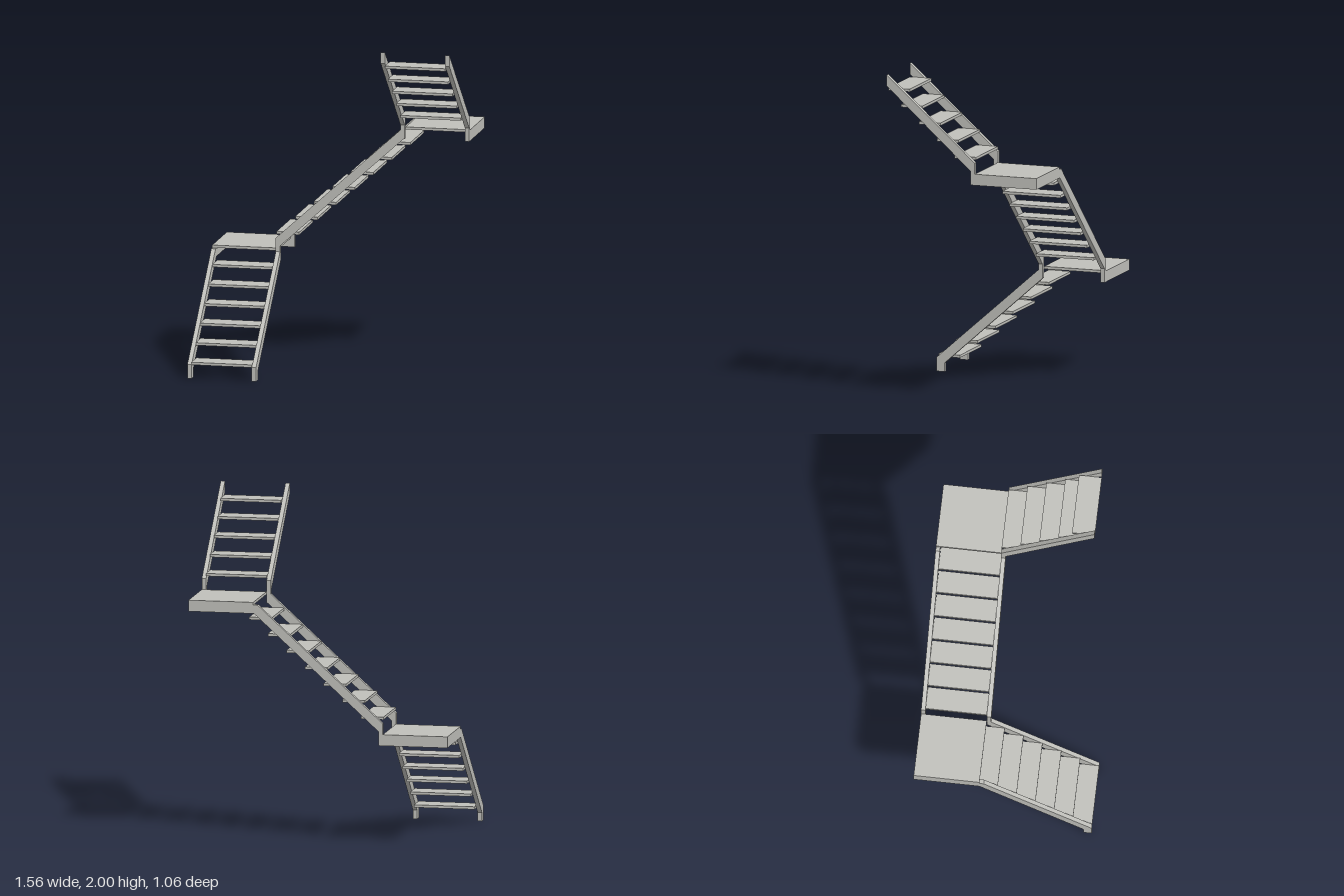
import * as THREE from 'three';

const T = 0.026;      // stringer and rim thickness
const RUN = 0.1125;   // tread spacing
const DEPTH = 0.136;  // tread depth
const RISE = 0.0955;
const THICK = 0.016;

export function createModel() {
  const model = new THREE.Group();
  model.name = 'staircase';
  const grey = new THREE.MeshStandardMaterial({ color: 0xc0c0bb });
  grey.name = 'paleGrey';

  // Box given by its minimum and maximum corners
  function box(parent, name, [x0, y0, z0], [x1, y1, z1]) {
    const mesh = new THREE.Mesh(new THREE.BoxGeometry(x1 - x0, y1 - y0, z1 - z0), grey);
    mesh.position.set((x0 + x1) / 2, (y0 + y1) / 2, (z0 + z1) / 2);
    mesh.name = name;
    parent.add(mesh);
  }

  // Pair of side boards; profile is (z, y) when alongZ, otherwise (x, y)
  function stringers(parent, profile, alongZ, offsets) {
    const shape = new THREE.Shape(profile.map(p => new THREE.Vector2(...p)));
    const geo = new THREE.ExtrudeGeometry(shape, { depth: T, bevelEnabled: false });
    if (alongZ) geo.rotateY(-Math.PI / 2).translate(T, 0, 0);
    for (const o of offsets) {
      const mesh = new THREE.Mesh(geo, grey);
      if (alongZ) mesh.position.x = o;
      else mesh.position.z = o;
      mesh.name = 'stringer';
      parent.add(mesh);
    }
  }

  function flight(name) {
    const group = new THREE.Group();
    group.name = name;
    model.add(group);
    return group;
  }

  // Lower flight, climbing towards the back
  const lower = flight('lowerFlight');
  stringers(lower, [[0.53, 0], [0.53, 0.085], [-0.113, 0.655], [-0.139, 0.655],
    [-0.139, 0.605], [0.48, 0.053], [0.48, 0]], true, [-0.782, -0.391]);
  for (let i = 0; i < 6; i++) {
    const z = 0.53 - i * RUN, y = 0.084 + i * RISE;
    box(lower, 'tread', [-0.756, y, z - DEPTH], [-0.391, y + THICK, z]);
  }

  // Middle flight, climbing towards +x
  const middle = flight('middleFlight');
  stringers(middle, [[-0.391, 0.605], [-0.391, 0.738], [0.365, 1.424], [0.391, 1.424],
    [0.391, 1.372], [0.386, 1.372], [-0.365, 0.69], [-0.365, 0.605]], false, [-0.139, -0.53]);
  for (let i = 0; i < 7; i++) {
    const x = -0.391 + i * RUN, y = 0.757 + i * RISE;
    box(middle, 'tread', [x, y, -0.504], [x + DEPTH, y + THICK, -0.139]);
  }

  // Upper flight, climbing towards the front
  const upper = flight('upperFlight');
  stringers(upper, [[-0.139, 1.372], [-0.139, 1.506], [0.416, 2], [0.416, 1.933],
    [-0.113, 1.455], [-0.113, 1.372]], true, [0.365, 0.756]);
  for (let i = 0; i < 5; i++) {
    const z = Math.min(-0.139 + i * RUN, 0.28), y = 1.52 + i * RISE;
    box(upper, 'tread', [0.391, y, z], [0.756, y + THICK, z + DEPTH]);
  }

  // Landings: thin deck on a back rim and an outer side rim
  for (const [name, x0, x1, rimX, y] of [
    ['lowerLanding', -0.782, -0.391, -0.782, 0.605],
    ['upperLanding', 0.391, 0.782, 0.756, 1.372]]) {
    const landing = flight(name);
    const top = y + 0.051;
    box(landing, 'deck', [x0, top, -0.53], [x1, top + THICK, -0.139]);
    box(landing, 'backRim', [x0, y, -0.53], [x1, top, -0.504]);
    box(landing, 'sideRim', [rimX, y, -0.504], [rimX + T, top, -0.139]);
  }
  return model;
}
